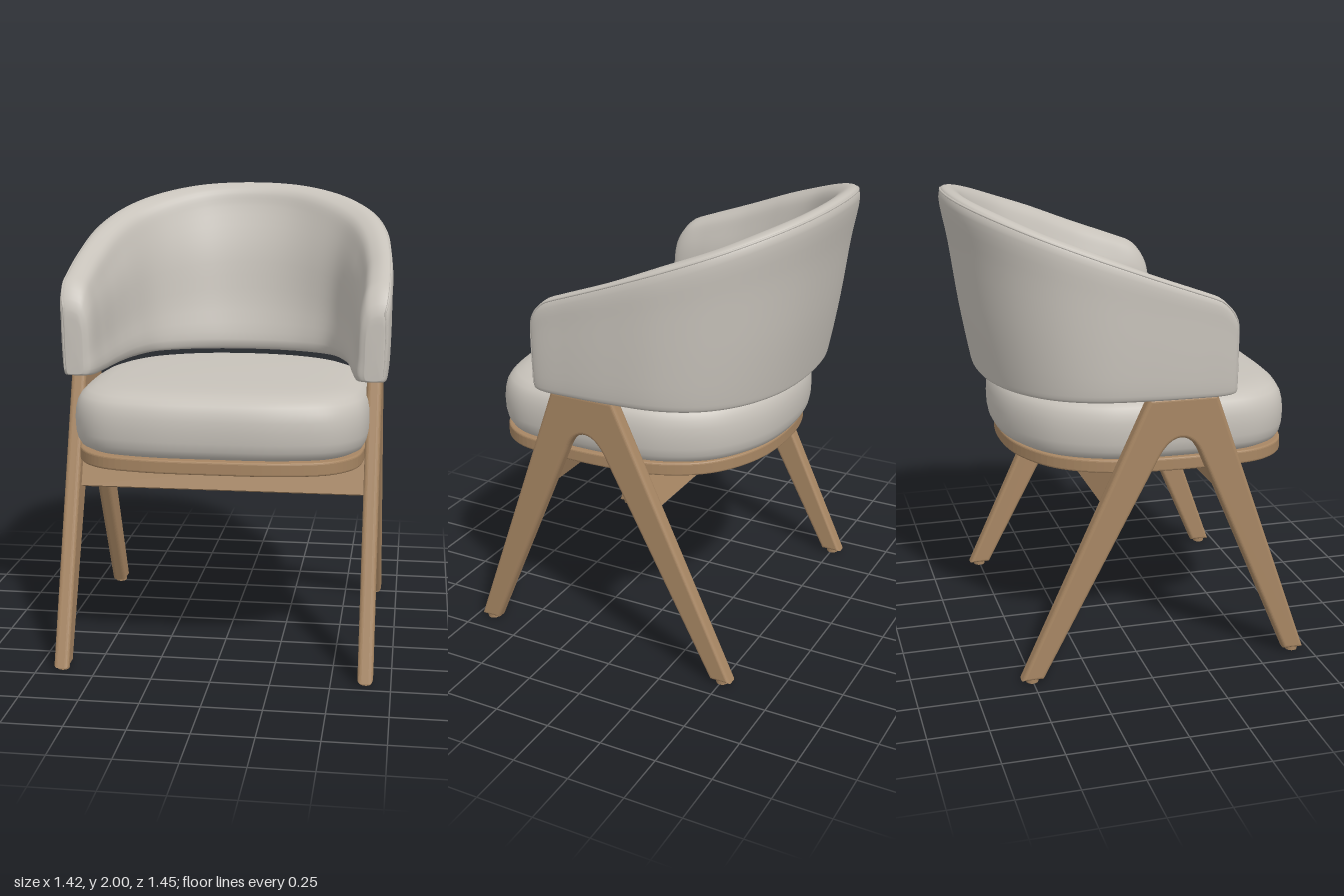
import * as THREE from 'three';

const fabric = new THREE.MeshStandardMaterial({ color: 0xc7c2ba });
fabric.name = 'warm grey fabric';
const wood = new THREE.MeshStandardMaterial({ color: 0xa78663 });
wood.name = 'oak wood';

const V = (x, y, z) => new THREE.Vector3(x, y, z);

function add(parent, name, geometry, material) {
  const mesh = new THREE.Mesh(geometry, material);
  mesh.name = name;
  parent.add(mesh);
  return mesh;
}

// Smooth skin over a row of closed loops, capped at both ends
function loft(loops) {
  const n = loops[0].length, pos = [], idx = [];
  loops.forEach(l => l.forEach(p => pos.push(p.x, p.y, p.z)));
  for (let i = 0; i < loops.length - 1; i++) {
    for (let j = 0; j < n; j++) {
      const a = i * n + j, b = i * n + (j + 1) % n;
      idx.push(a, b, b + n, a, b + n, a + n);
    }
  }
  [0, loops.length - 1].forEach((row, end) => {
    const c = loops[row].reduce((s, p) => s.add(p), V(0, 0, 0)).divideScalar(n);
    const ci = pos.length / 3;
    pos.push(c.x, c.y, c.z);
    for (let j = 0; j < n; j++) {
      const a = row * n + j, b = row * n + (j + 1) % n;
      if (end) idx.push(ci, a, b); else idx.push(ci, b, a);
    }
  });
  const g = new THREE.BufferGeometry();
  g.setAttribute('position', new THREE.Float32BufferAttribute(pos, 3));
  g.setIndex(idx);
  g.computeVertexNormals();
  return g;
}

// Plan curve of the backrest, from the right arm round the back to the left arm
function planCurve(half) {
  const right = half.map(([x, z]) => V(-x, 0, z));
  const left = half.slice(0, -1).reverse().map(([x, z]) => V(x, 0, z));
  return new THREE.CatmullRomCurve3([...right, ...left]);
}
const outerBottom = planCurve([[.675, .375], [.692, .355], [.70, .2], [.695, .01], [.669, -.208], [.598, -.361], [.47, -.486], [.271, -.575], [0, -.605]]);
const outerTop = planCurve([[.68, .375], [.702, .355], [.71, .2], [.705, .01], [.677, -.235], [.606, -.425], [.477, -.578], [.275, -.688], [0, -.725]]);
const innerTop = planCurve([[.61, .375], [.588, .355], [.58, .2], [.57, 0], [.535, -.185], [.46, -.37], [.35, -.485], [.195, -.58], [0, -.61]]);
const innerBottom = planCurve([[.605, .375], [.572, .355], [.54, .2], [.515, 0], [.472, -.18], [.40, -.335], [.285, -.408], [.14, -.448], [0, -.46]]);

// Point on the backrest: s along it, u outside to inside, v bottom to top, plus a lift
function backPoint(s, u, v, lift) {
  const bottom = outerBottom.getPoint(s).lerp(innerBottom.getPoint(s), u);
  const rim = outerTop.getPoint(s);
  const t = THREE.MathUtils.clamp((rim.z - .27) / .105, 0, 1);
  const round = 1 - Math.sqrt(1 - t * t);
  bottom.y = 1.21 + .015 * round;
  const top = rim.clone().lerp(innerTop.getPoint(s), u);
  top.y = 1.732 - .37 * rim.z - .13 * round;
  const softness = Math.min(1, (top.y - bottom.y) / .6);
  const p = bottom.lerp(top, v);
  p.y += lift * softness;
  return p;
}

function backrest(parent) {
  // Rounded section in (u, v, lift)
  const section = new THREE.CatmullRomCurve3([
    V(0, 0, .03), V(-.03, .35, 0), V(-.02, .7, 0), V(0, 1, -.05), V(.06, 1, -.015), V(.25, 1, 0),
    V(.55, 1, -.01), V(.82, 1, -.045), V(.97, 1, -.11), V(1.02, .6, 0), V(1.01, .3, 0),
    V(1, 0, .05), V(.94, 0, .012), V(.8, 0, 0), V(.15, 0, 0), V(.04, 0, .006)], true);
  const profile = section.getPoints(64).slice(0, -1);
  const loops = [];
  for (let i = 0; i <= 128; i++) loops.push(profile.map(q => backPoint(i / 128, q.x, q.y, q.z)));
  add(parent, 'backrest', loft(loops), fabric);

  // Piping up one arm front, along the rim and down the other
  const path = [];
  const e = .035;
  for (const v of [.08, .4, .75]) path.push(backPoint(e, 0, v, 0));
  for (let i = 0; i <= 50; i++) path.push(backPoint(e + (1 - 2 * e) * i / 50, .07, 1, -.014));
  for (const v of [.75, .4, .08]) path.push(backPoint(1 - e, 0, v, 0));
  add(parent, 'backrestPiping', new THREE.TubeGeometry(new THREE.CatmullRomCurve3(path), 200, .005, 6), fabric);
}

// Seat plan: gently curved front, rounded back
const seatHalf = [[.3, .703], [.5, .645], [.602, .52], [.632, .3], [.63, .05], [.595, -.18], [.475, -.38], [.265, -.503]];
const seatPlan = new THREE.CatmullRomCurve3([
  V(0, 0, .715), ...seatHalf.map(([x, z]) => V(x, 0, z)),
  V(0, 0, -.54), ...seatHalf.map(([x, z]) => V(-x, 0, z)).reverse()], true).getPoints(128).slice(0, -1);
const seatLoop = (scale, y = 0) => seatPlan.map(p => V(p.x * scale, y, .09 + (p.z - .09) * scale));

function seat(parent) {
  // Cushion as height and inset from the plan
  const levels = [[.932, .3], [.932, .07], [.936, .045], [.95, .022], [.975, .009], [1.01, .002], [1.06, 0], [1.1, .003],
    [1.135, .011], [1.16, .025], [1.18, .048], [1.193, .085], [1.201, .13], [1.207, .22], [1.211, .4]];
  add(parent, 'seatCushion', loft(levels.map(([y, inset]) => seatLoop(1 - inset / .63, y))), fabric);

  // Wooden ring below the cushion
  const flat = scale => seatLoop(scale).map(p => new THREE.Vector2(p.x, p.z));
  const ring = new THREE.Shape(flat(.97));
  ring.holes.push(new THREE.Path(flat(.83)));
  const g = new THREE.ExtrudeGeometry(ring, { depth: .04, bevelThickness: .009, bevelSize: .009, bevelOffset: -.009, bevelSegments: 3 });
  g.rotateX(Math.PI / 2).translate(0, .927, .015);
  add(parent, 'seatRing', g, wood);
}

function frame(parent) {
  // A-shaped side frame drawn in z and y
  const side = new THREE.Shape();
  side.moveTo(.72, .014);
  side.lineTo(.295, 1.215);
  side.lineTo(0, 1.215);
  side.lineTo(-.55, .014);
  side.lineTo(-.455, .014);
  side.lineTo(.045, .96);
  side.bezierCurveTo(.10, 1.065, .18, 1.065, .225, .96);
  side.lineTo(.63, .014);
  const g = new THREE.ExtrudeGeometry(side, {
    depth: .028, curveSegments: 20, bevelThickness: .018, bevelSize: .016, bevelOffset: -.016, bevelSegments: 5 });
  g.rotateY(-Math.PI / 2).translate(.014, 0, 0);
  for (const s of [1, -1]) {
    const name = s > 0 ? 'left' : 'right';
    add(parent, name + 'LegFrame', g, wood).position.x = s * .644;
    for (const [end, z] of [['Front', .675], ['Back', -.502]]) {
      add(parent, name + end + 'Foot', new THREE.CylinderGeometry(.028, .026, .03, 20), wood).position.set(s * .644, .015, z);
    }
  }
  // Cross rails leaning with the legs
  for (const [name, y, z, tilt] of [['frontRail', .805, .365, -.344], ['backRail', .80, -.12, .43]]) {
    const rail = add(parent, name, new THREE.BoxGeometry(1.24, .155, .05), wood);
    rail.position.set(0, y, z);
    rail.rotation.x = tilt;
  }
  // Board joining the rails below the cushion
  add(parent, 'seatBoard', new THREE.BoxGeometry(1.2, .02, .4), wood).position.set(0, .9, .13);
}

export function createModel() {
  const chair = new THREE.Group();
  chair.name = 'armchair';
  backrest(chair);
  seat(chair);
  frame(chair);
  return chair;
}
